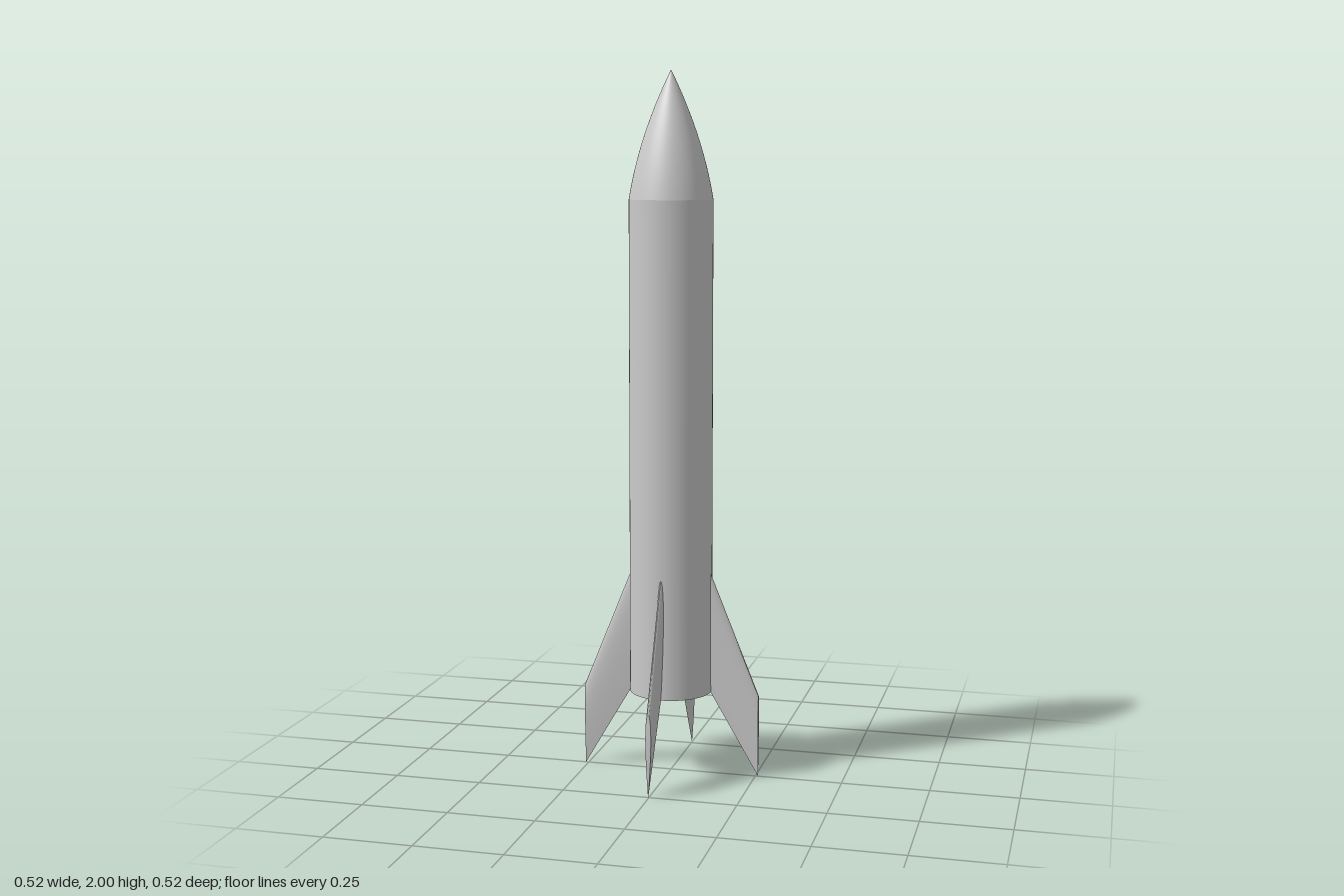
import * as THREE from 'three';
import { toCreasedNormals } from 'three/addons/utils/BufferGeometryUtils.js';

const RADIUS = 0.118, BASE = 0.24, SHOULDER = 1.645, TOP = 2, SEGMENTS = 64;

// Swept fin with a symmetric airfoil section, round edge up and thin edge down
function finGeometry() {
  const half = (c) => 0.08 * (1.4845 * Math.sqrt(c) - 0.63 * c - 1.758 * c ** 2 + 1.4215 * c ** 3 - 0.518 * c ** 4);
  const n = 14, points = [];
  for (let i = 0; i < 2 * n; i++) {
    const c = (1 + Math.cos((Math.PI * i) / n)) / 2;
    const side = i <= n ? -1 : 1;
    points.push(new THREE.Vector2(1 - c, i % n === 0 ? 0 : side * half(c) * 0.2));
  }
  const geo = new THREE.ExtrudeGeometry(new THREE.Shape(points), { depth: 1, bevelEnabled: false });
  const pos = geo.attributes.position;
  const lerp = THREE.MathUtils.lerp;
  for (let i = 0; i < pos.count; i++) {
    const chord = pos.getX(i), thick = pos.getY(i), span = pos.getZ(i);
    const bottom = lerp(BASE, 0, span), top = lerp(0.588, 0.24, span);
    pos.setXYZ(i, lerp(RADIUS - 0.001, 0.258, span), lerp(bottom, top, chord), thick);
  }
  return toCreasedNormals(geo, 0.6);
}

export function createModel() {
  const model = new THREE.Group();
  model.name = 'rocket';
  const material = new THREE.MeshStandardMaterial({ color: 0xcccccc });
  const add = (name, geo) => {
    const mesh = new THREE.Mesh(geo, material);
    mesh.name = name;
    model.add(mesh);
    return mesh;
  };

  // Body tube, closed at both ends
  const tube = new THREE.CylinderGeometry(RADIUS, RADIUS, SHOULDER - BASE, SEGMENTS);
  add('bodyTube', tube).position.y = (SHOULDER + BASE) / 2;

  // Parabolic nose cone
  const profile = [];
  for (let i = 0; i <= 24; i++) {
    const t = 1 - i / 24;
    profile.push(new THREE.Vector2((RADIUS * (2 * t - 0.67 * t * t)) / 1.33, TOP - t * (TOP - SHOULDER)));
  }
  add('noseCone', new THREE.LatheGeometry(profile, SEGMENTS));

  // Four fins around the base
  const fin = finGeometry();
  ['leftFin', 'backFin', 'rightFin', 'frontFin'].forEach((name, i) => {
    add(name, fin).rotation.y = (i * Math.PI) / 2;
  });
  return model;
}
